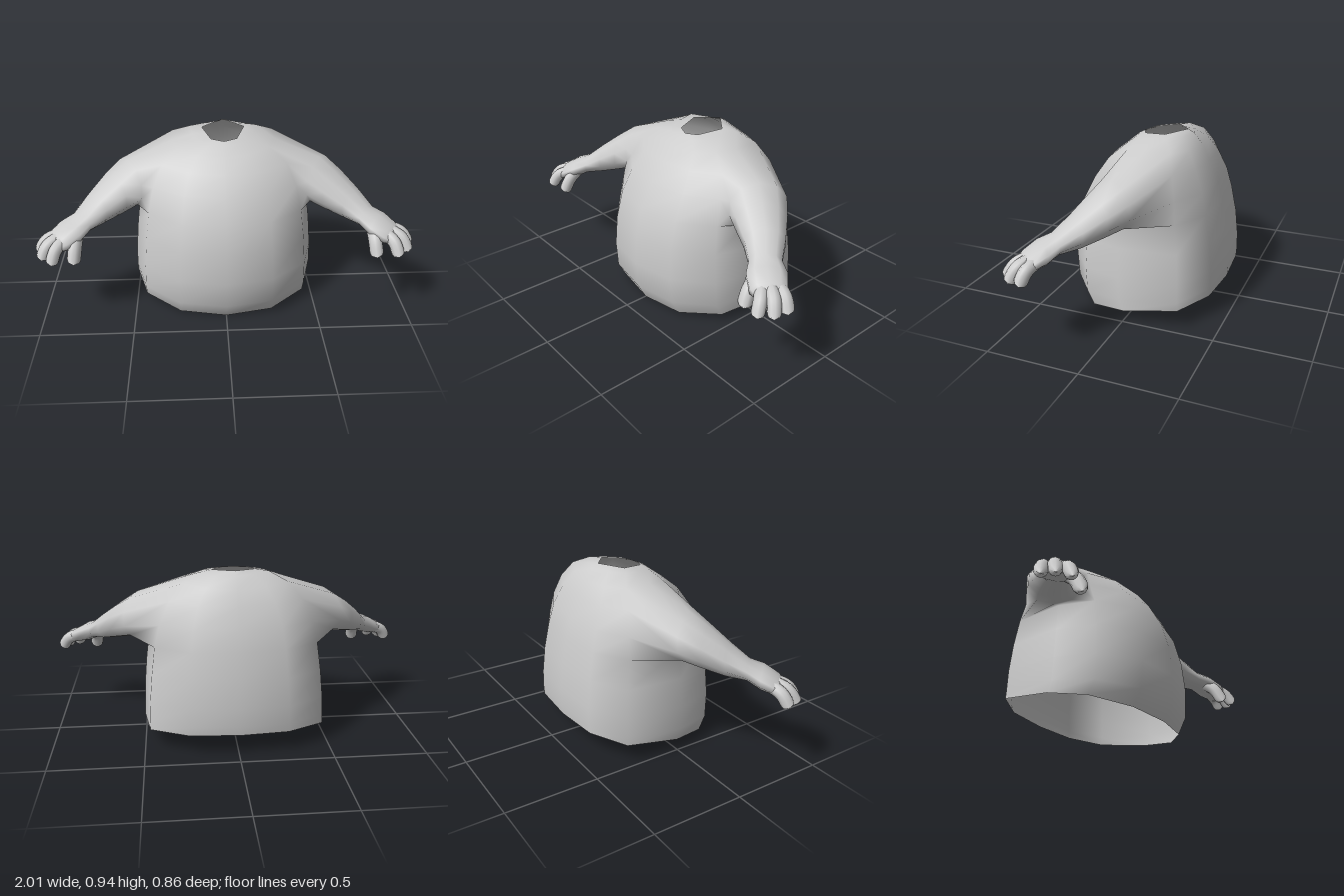
import * as THREE from 'three';

const material = new THREE.MeshStandardMaterial({ color: 0xcccccc, side: THREE.DoubleSide });

// Half outlines (x, z) from front centre to back centre, as fractions of the ring size
const bodyOutline = [[0, 1], [0.5, 0.9], [0.88, 0.55], [1, 0.05], [0.93, -0.68], [0.53, -0.95], [0, -1]];
const neckOutline = [[0, 1], [0.3, 0.88], [0.6, 0.76], [0.8, 0.24], [1, -0.28], [0.5, -0.64], [0, -1]];

// Torso rings: front y, back y, front z, back z, half width, lift at the sides, blend to neck outline
const torsoLevels = [
  [0.005, 0.12, 0.37, -0.425, 0.505, 0.014, 0],
  [0.1, 0.17, 0.42, -0.43, 0.505, 0, 0],
  [0.25, 0.27, 0.43, -0.43, 0.5, 0, 0],
  [0.42, 0.42, 0.415, -0.415, 0.485, 0, 0],
  [0.57, 0.57, 0.375, -0.385, 0.465, 0, 0],
  [0.7, 0.68, 0.305, -0.355, 0.435, 0, 0],
  [0.8, 0.79, 0.23, -0.305, 0.38, 0.01, 0],
  [0.865, 0.87, 0.15, -0.265, 0.295, 0.022, 0.2],
  [0.905, 0.93, 0.1, -0.215, 0.19, 0.012, 0.6],
  [0.92, 0.95, 0.07, -0.18, 0.115, 0, 1],
];

// Arm rings: centre x, y, z, heading towards the front, horizontal radius, vertical radius
const armSections = [
  [0.52, 0.675, 0.03, 0.55, 0.155, 0.127],
  [0.6, 0.632, 0.085, 0.65, 0.135, 0.108],
  [0.69, 0.58, 0.15, 0.7, 0.105, 0.082],
  [0.765, 0.535, 0.22, 0.75, 0.082, 0.05],
  [0.82, 0.507, 0.265, 0.7, 0.102, 0.056],
  [0.88, 0.475, 0.312, 0.7, 0.092, 0.046],
  [0.912, 0.455, 0.335, 0.7, 0.055, 0.022],
  [0.915, 0.453, 0.337, 0.7, 0.001, 0.001],
];

// The armhole in the torso: [level, column] around its rim, from front bottom over the shoulder
const armhole = [[4, 2], [5, 2], [6, 2], [7, 2], [7, 3], [7, 4], [6, 4], [5, 4], [4, 4], [4, 3]];

// Torso and arms as one smooth skin, open at the hem and the neck
function createBody() {
  const points = [], index = [];
  const quad = (a, b, c, d, flip) => index.push(...(flip ? [a, c, b, a, d, c] : [a, b, c, a, c, d]));
  const columns = 12;

  for (const [yf, yb, zf, zb, w, lift, k] of torsoLevels) {
    const half = bodyOutline.map(([x, t], i) => {
      const px = x + (neckOutline[i][0] - x) * k;
      const f = (1 + t + (neckOutline[i][1] - t) * k) / 2;
      return [px * w, yb + (yf - yb) * f + lift * px * px, zb + (zf - zb) * f];
    });
    points.push(...half, ...half.slice(1, -1).reverse().map(([x, y, z]) => [-x, y, z]));
  }
  for (let i = 0; i < torsoLevels.length - 1; i++) {
    for (let j = 0; j < columns; j++) {
      if (i >= 4 && i < 7 && [2, 3, 8, 9].includes(j)) continue; // armholes
      const a = i * columns + j, b = i * columns + (j + 1) % columns;
      quad(a, b, b + columns, a + columns, false);
    }
  }

  // Each arm grows from the rim of its armhole to the knuckles
  for (const side of [1, -1]) {
    let previous = armhole.map(([level, c]) => level * columns + (side > 0 ? c : columns - c));
    for (const [x, y, z, a, rh, rv] of armSections) {
      const ring = armhole.map((_, j) => {
        const t = (j / armhole.length) * Math.PI * 2 - Math.PI * 0.3;
        const h = Math.cos(t) * rh;
        return points.push([side * (x - Math.sin(a) * h), y + Math.sin(t) * rv, z + Math.cos(a) * h]) - 1;
      });
      ring.forEach((r, j) => {
        const next = (j + 1) % ring.length;
        quad(previous[j], previous[next], ring[next], r, side > 0);
      });
      previous = ring;
    }
  }

  const g = new THREE.BufferGeometry();
  g.setAttribute('position', new THREE.Float32BufferAttribute(points.flat(), 3));
  g.setIndex(index);
  g.computeVertexNormals();
  const mesh = new THREE.Mesh(g, material);
  mesh.name = 'torsoAndArms';
  return mesh;
}

// Bent finger: a tube whose rings shrink to a rounded tip
function createFinger(path, radius, side, name) {
  const curve = new THREE.CatmullRomCurve3(path.map(([x, y, z]) => new THREE.Vector3(side * x, y, z)));
  const segments = 14, radial = 10;
  const g = new THREE.TubeGeometry(curve, segments, radius, radial, false);
  const p = g.attributes.position, v = new THREE.Vector3();
  const length = curve.getLength();
  for (let i = 0; i <= segments; i++) {
    const c = curve.getPointAt(i / segments);
    const left = Math.min(1, (1 - i / segments) * length / radius);
    const k = Math.sqrt(1 - (1 - left) ** 2);
    for (let j = 0; j <= radial; j++) {
      const id = i * (radial + 1) + j;
      v.fromBufferAttribute(p, id).sub(c).multiplyScalar(k).add(c);
      p.setXYZ(id, v.x, v.y, v.z);
    }
  }
  const mesh = new THREE.Mesh(g, material);
  mesh.name = name;
  return mesh;
}

const fingers = [
  ['outerFinger', 0.034, [[0.86, 0.49, 0.25], [0.945, 0.462, 0.275], [0.99, 0.395, 0.295]]],
  ['middleFinger', 0.034, [[0.86, 0.49, 0.285], [0.93, 0.462, 0.33], [0.97, 0.39, 0.365]]],
  ['innerFinger', 0.034, [[0.84, 0.485, 0.315], [0.885, 0.455, 0.37], [0.91, 0.385, 0.412]]],
  ['thumb', 0.037, [[0.785, 0.505, 0.285], [0.79, 0.455, 0.345], [0.8, 0.372, 0.39]]],
];

export function createModel() {
  const model = new THREE.Group();
  model.name = 'upperBody';
  model.add(createBody());
  for (const side of [1, -1]) {
    const hand = new THREE.Group();
    hand.name = side > 0 ? 'leftFingers' : 'rightFingers';
    for (const [name, radius, path] of fingers) hand.add(createFinger(path, radius, side, name));
    model.add(hand);
  }
  return model;
}
